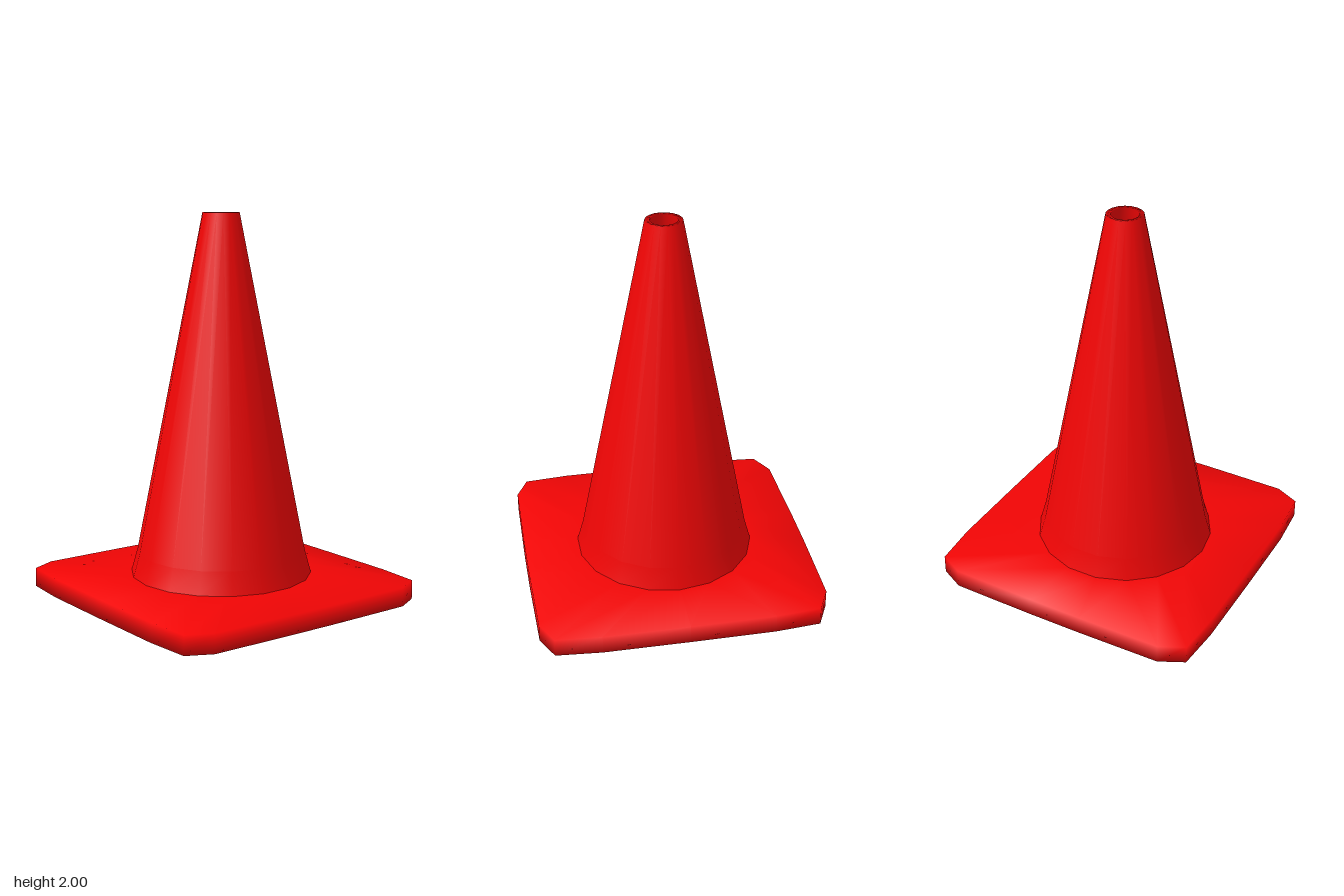
import * as THREE from 'three';

const SIDES = 18;

// Regular ring of the round cone
const circle = (r, y) => Array.from({ length: SIDES }, (_, i) => {
  const a = (i / SIDES) * Math.PI * 2;
  return [r * Math.sin(a), y, r * Math.cos(a)];
});

// Square ring with clipped corners, mirrored from one quarter of its outline
const quarter = [[0, 0.752], [0.45, 0.75], [0.69, 0.73], [0.755, 0.6], [0.762, 0.15]];
const half = [...quarter, ...quarter.slice(1).reverse().map(([x, z]) => [x, -z])];
const outline = [...half, [0, -0.752], ...half.slice(1).reverse().map(([x, z]) => [-x, z])];
const square = (y) => outline.map(([x, z]) => [x, y, z]);

// Smooth skin over a list of closed rings
function loft(rings) {
  const index = [];
  for (let j = 0; j < rings.length - 1; j++) {
    for (let i = 0; i < SIDES; i++) {
      const k = (i + 1) % SIDES;
      const a = j * SIDES + i, b = j * SIDES + k;
      const c = a + SIDES, d = b + SIDES;
      index.push(a, c, b, b, c, d);
    }
  }
  const geometry = new THREE.BufferGeometry();
  geometry.setAttribute('position', new THREE.Float32BufferAttribute(rings.flat(2), 3));
  geometry.setIndex(index);
  geometry.computeVertexNormals();
  return geometry;
}

export function createModel() {
  const group = new THREE.Group();
  group.name = 'trafficCone';
  const material = new THREE.MeshStandardMaterial({ color: 0xf00505, side: THREE.DoubleSide });
  const add = (name, rings) => {
    const mesh = new THREE.Mesh(loft(rings), material);
    mesh.name = name;
    group.add(mesh);
  };

  // Hollow cone: up the inside, over the lip, down the outside to the flared foot
  add('cone', [
    circle(0.47, 0.08), circle(0.41, 0.23), circle(0.07, 2),
    circle(0.095, 2), circle(0.442, 0.24), circle(0.475, 0.122),
  ]);
  // Square foot plate, its underside rising to the opening
  add('basePlate', [circle(0.475, 0.122), square(0.1), square(0), circle(0.47, 0.08)]);
  return group;
}
